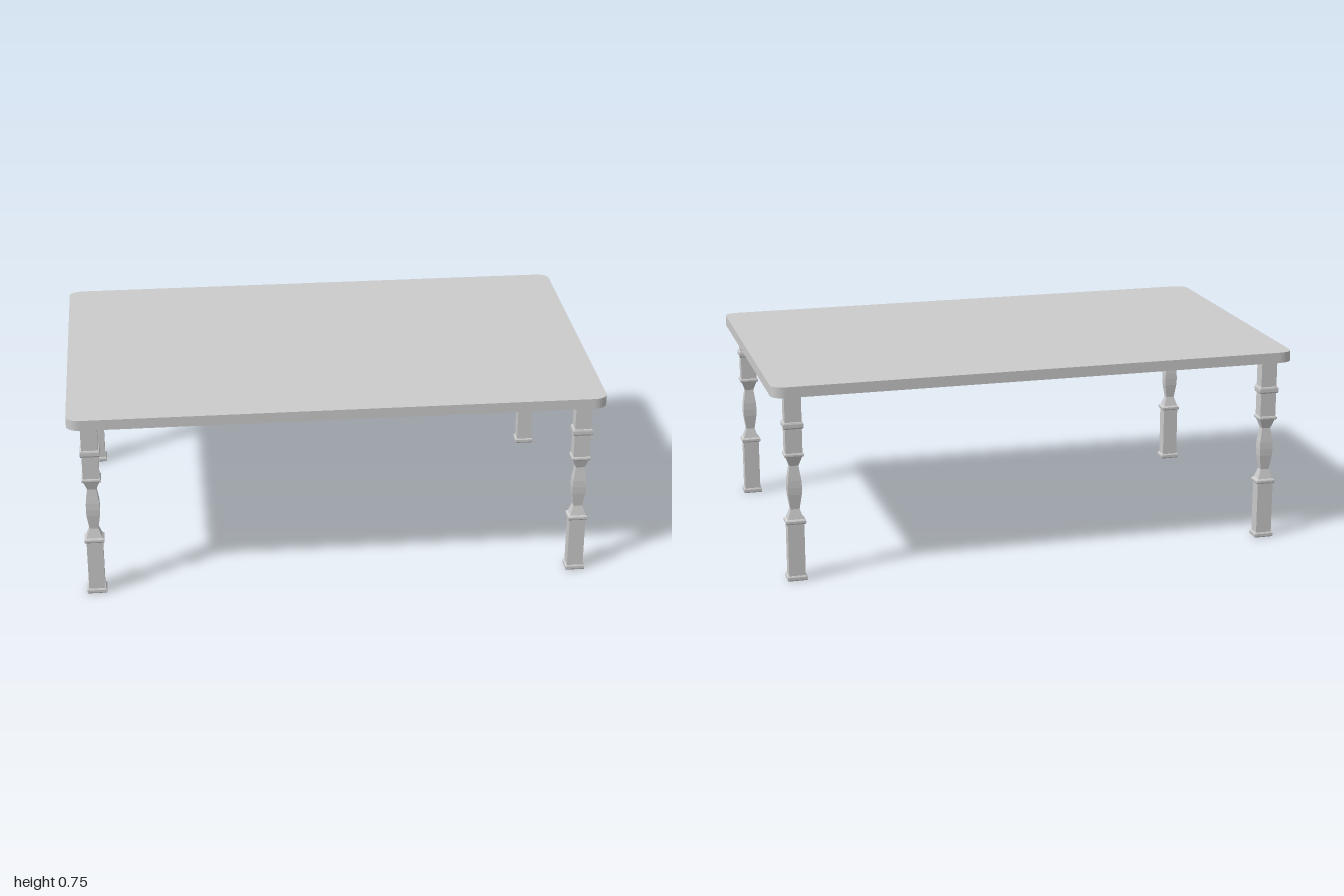
import * as THREE from 'three';

const material = new THREE.MeshStandardMaterial({ color: 0xcccccc, flatShading: true });
const STRETCH = 1.28; // legs and corners are wider along x than along z

// Rectangle with elliptical corners, half sizes hx and hz
function roundedOutline(hx, hz, r) {
  const rx = r * STRETCH;
  const shape = new THREE.Shape();
  const corners = [[1, 1], [-1, 1], [-1, -1], [1, -1]];
  shape.moveTo(hx, hz - r);
  corners.forEach(([sx, sz], i) => {
    const a = i * Math.PI / 2;
    shape.absellipse(sx * (hx - rx), sz * (hz - r), rx, r, a, a + Math.PI / 2, false, 0);
  });
  shape.closePath();
  return shape;
}

// Horizontal plate extruded upward between two heights
function plate(name, shape, y0, y1) {
  const geometry = new THREE.ExtrudeGeometry(shape, { depth: y1 - y0, bevelEnabled: false, curveSegments: 4 });
  geometry.rotateX(-Math.PI / 2).translate(0, y0, 0);
  const mesh = new THREE.Mesh(geometry, material);
  mesh.name = name;
  return mesh;
}

// Square-section leg: [half width, height] from floor to tabletop
function legGeometry() {
  const profile = [
    [0, 0], [0.027, 0], [0.029, 0.004], [0.029, 0.014], [0.026, 0.019], [0.024, 0.019], // foot
    [0.024, 0.218], [0.027, 0.219], [0.029, 0.223], [0.029, 0.231], [0.026, 0.235], // lower collar
    [0.023, 0.237], [0.013, 0.274], // lower flare
    [0.016, 0.3], [0.0195, 0.33], [0.0205, 0.357], [0.0195, 0.384], [0.016, 0.414], [0.013, 0.44], // bulge
    [0.023, 0.475], [0.026, 0.476], [0.028, 0.479], [0.028, 0.485], [0.026, 0.489], // middle collar
    [0.024, 0.49], [0.024, 0.581], [0.027, 0.582], [0.029, 0.587], [0.029, 0.6], [0.027, 0.606], // upper collar
    [0.024, 0.607], [0.024, 0.712], [0, 0.712],
  ].map(([w, y]) => new THREE.Vector2(w * Math.SQRT2, y));
  const geometry = new THREE.LatheGeometry(profile, 4, Math.PI / 4);
  return geometry.scale(STRETCH, 1, 1);
}

export function createModel() {
  const table = new THREE.Group();
  table.name = 'diningTable';

  // Tabletop panel over a rim that leaves the underside recessed
  table.add(plate('tabletop', roundedOutline(1, 0.6, 0.04), 0.733, 0.75));
  const rim = roundedOutline(1, 0.6, 0.04);
  const hx = 0.9, hz = 0.522;
  rim.holes.push(new THREE.Path([[-hx, -hz], [-hx, hz], [hx, hz], [hx, -hz]]
    .map(([x, z]) => new THREE.Vector2(x, z))));
  table.add(plate('tabletopRim', rim, 0.71, 0.733));

  // Four turned legs
  const leg = legGeometry();
  for (const [sx, xName] of [[1, 'Left'], [-1, 'Right']]) {
    for (const [sz, zName] of [[1, 'front'], [-1, 'back']]) {
      const mesh = new THREE.Mesh(leg, material);
      mesh.name = zName + xName + 'Leg';
      mesh.position.set(sx * 0.92, 0, sz * 0.538);
      table.add(mesh);
    }
  }
  return table;
}
